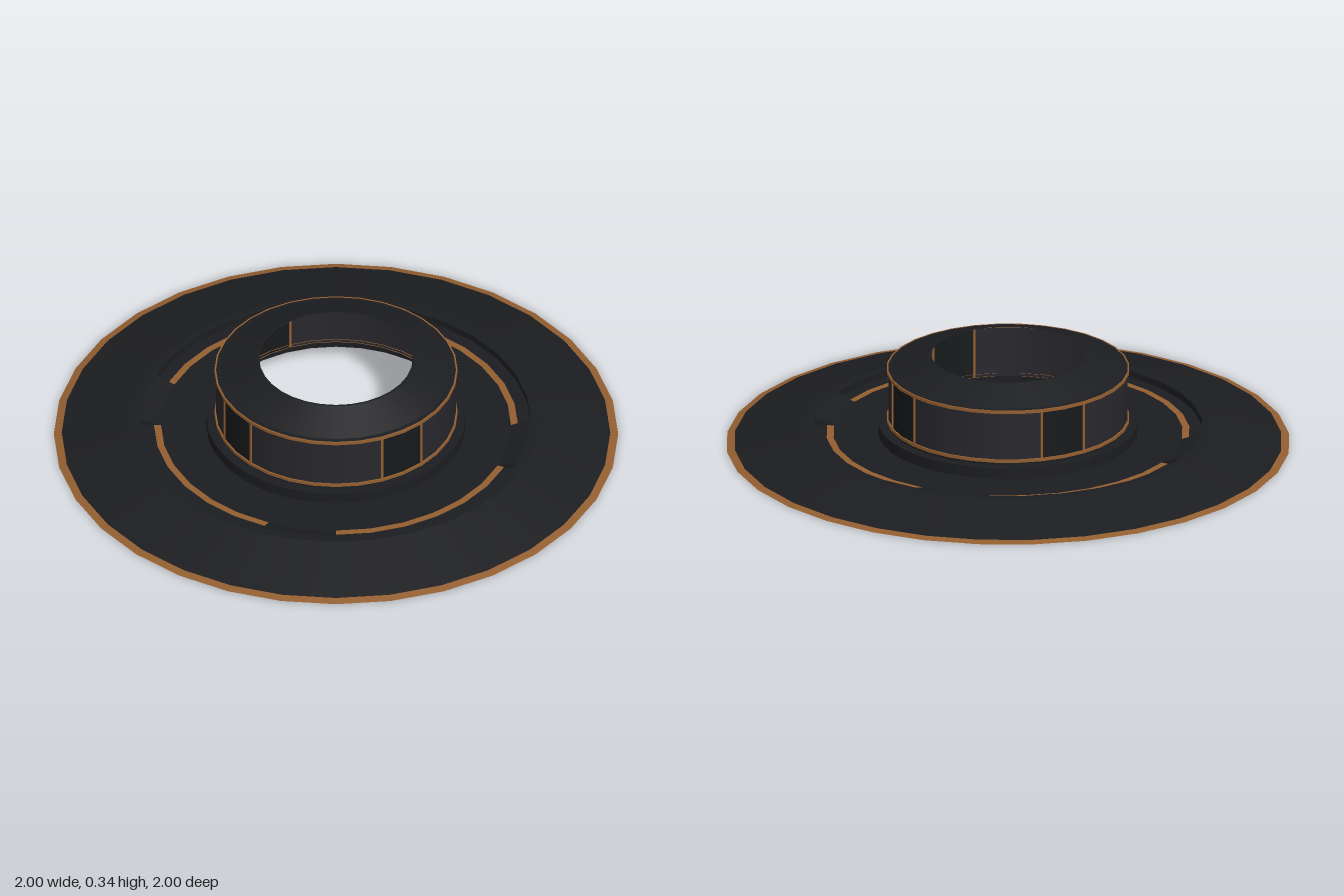
import * as THREE from 'three';

const mat = (color) => new THREE.MeshStandardMaterial({ color, side: THREE.DoubleSide });

export function createModel() {
  const model = new THREE.Group();
  const dark = mat(0x1c1d20), panelDark = mat(0x16191b), panelLight = mat(0x28282d), copper = mat(0x935e30);
  const STEP = Math.PI / 16; // one side of the 32-sided plan

  const add = (name, geometry, material, parent = model) => {
    const mesh = new THREE.Mesh(geometry, material);
    mesh.name = name;
    parent.add(mesh);
    return mesh;
  };

  // Thin surface swept round y; each profile segment keeps its own crisp edge
  const band = (name, profile, material, start = 0, sides = 32) => {
    const group = new THREE.Group();
    group.name = name;
    for (let i = 0; i + 1 < profile.length; i++) {
      const points = [profile[i], profile[i + 1]].map(([r, y]) => new THREE.Vector2(r, y));
      add(name + 'Surface', new THREE.LatheGeometry(points, sides, start * STEP, sides * STEP), material, group);
    }
    model.add(group);
  };

  // Wide base: bright edge, sloping skirt, flat crest and sunken inner floor
  band('baseRim', [[1, 0], [0.972, 0.0065]], copper);
  band('baseSkirt', [[0.972, 0.0065], [0.72, 0.065], [0.69, 0.065]], dark);
  band('innerFloor', [[0.62, 0.04], [0.46, 0.04]], dark);

  // Four arc slots with a copper strip, and the ramps between them
  const endWall = new THREE.Shape([[0.69, 0.065], [0.69, 0.04], [0.62, 0.04]].map(([x, y]) => new THREE.Vector2(x, y)));
  for (let q = 0; q < 4; q++) {
    const start = q * 8 + 1;
    band('slot', [[0.69, 0.065], [0.69, 0.04], [0.645, 0.04]], dark, start, 6);
    band('slotStrip', [[0.645, 0.04], [0.62, 0.04]], copper, start, 6);
    band('ramp', [[0.69, 0.065], [0.62, 0.04]], dark, start - 2, 2);
    for (const end of [start, start + 6]) {
      add('slotEnd', new THREE.ShapeGeometry(endWall), dark).rotation.y = end * STEP - Math.PI / 2;
    }
  }

  // Collar at the foot of the hollow tower
  band('collar', [[0.46, 0.04], [0.46, 0.08], [0.425, 0.08], [0.425, 0.09]], dark);

  // Tower wall: wide light panels and narrow dark ones with upright frames
  for (let q = 0; q < 4; q++) {
    band('widePanel', [[0.425, 0.09], [0.425, 0.28]], panelLight, q * 8 - 3, 6);
    band('narrowPanel', [[0.425, 0.09], [0.425, 0.28]], panelDark, q * 8 + 3, 2);
    for (const side of [3, 5]) {
      const a = (q * 8 + side) * STEP;
      const post = add('panelFrame', new THREE.BoxGeometry(0.008, 0.19, 0.008), copper);
      post.position.set(Math.sin(a) * 0.425, 0.185, Math.cos(a) * 0.425);
      post.rotation.y = a;
    }
  }

  // Copper rings below and above the panels
  for (const y of [0.09, 0.275]) {
    band('towerRing', [[0.422, y], [0.431, y], [0.431, y + 0.011], [0.422, y + 0.011]], copper);
  }

  // Sloping cap round the open top
  band('cap', [[0.425, 0.286], [0.41, 0.288], [0.28, 0.335], [0.272, 0.335]], dark);

  return model;
}
